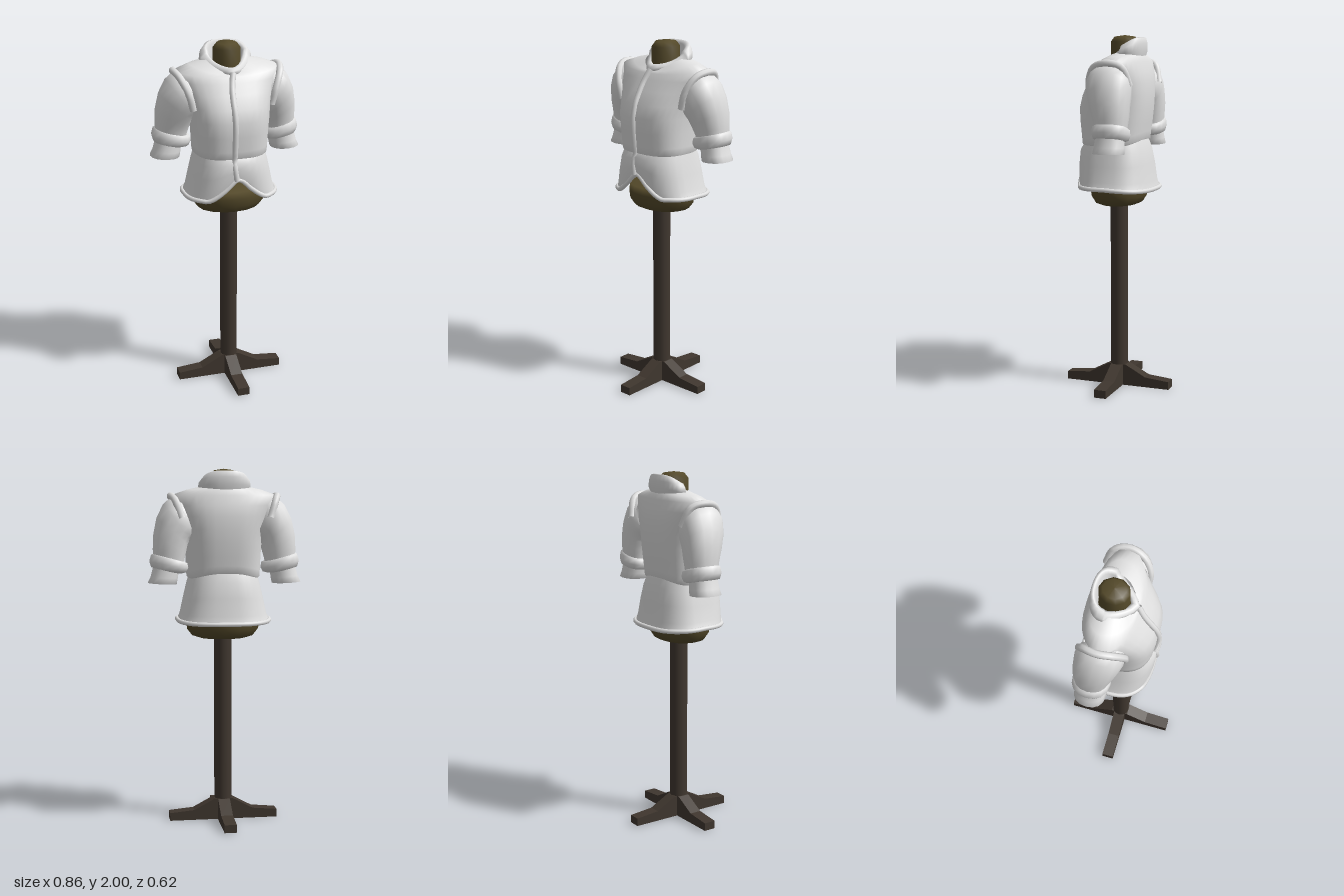
import * as THREE from 'three';

const V = (x, y, z) => new THREE.Vector3(x, y, z);
const COLS = 32;

// Smooth skin over closed rings of points, listed bottom to top
function loft(rings) {
  const n = rings[0].length, index = [];
  for (let i = 0; i < rings.length - 1; i++) {
    for (let j = 0; j < n; j++) {
      const k = (j + 1) % n, a = i * n, b = a + n;
      index.push(a + j, a + k, b + k, a + j, b + k, b + j);
    }
  }
  const g = new THREE.BufferGeometry().setFromPoints(rings.flat());
  g.setIndex(index);
  g.computeVertexNormals();
  return g;
}

const spow = (v, e) => Math.sign(v) * Math.abs(v) ** e;
const angles = (n) => Array.from({ length: n }, (_, j) => (j / n) * Math.PI * 2);

// Rounded-box outline: half width, front z, back z, z of the widest point, boxiness
function outline(a, w, zf, zb, zc, e) {
  const c = spow(Math.cos(a), e);
  return V(w * spow(Math.sin(a), e), 0, zc + (c > 0 ? (zf - zc) * c : (zc - zb) * c));
}

const waistLift = (a) => 0.03 * Math.max(0, -Math.cos(a)) ** 3;
const hemY = (p) => (p.z > 0
  ? 1.163 + 0.12 * Math.max(0, 1 - Math.abs(p.x) / 0.15)
  : 1.163 - 0.012 * Math.min(1, -p.z / 0.2));

export function createModel() {
  const model = new THREE.Group();
  const cloth = new THREE.MeshStandardMaterial({ color: 0xe0e0e0, side: THREE.DoubleSide });
  cloth.name = 'white cloth';
  const wood = new THREE.MeshStandardMaterial({ color: 0x40372f });
  wood.name = 'dark wood';
  const form = new THREE.MeshStandardMaterial({ color: 0x554a2a });
  form.name = 'olive dress form';

  const add = (name, geometry, material, parent = model) => {
    const m = new THREE.Mesh(geometry, material);
    m.name = name;
    parent.add(m);
    return m;
  };
  const tube = (pts, r, closed = false, seg = 32) =>
    new THREE.TubeGeometry(new THREE.CatmullRomCurve3(pts, closed), seg, r, 8, closed);

  // Stand: four sloping feet and a pole
  const foot = new THREE.Shape([[0, 0], [0.31, 0], [0.31, 0.045], [0.17, 0.058], [0.05, 0.122], [0, 0.122]]
    .map(([x, y]) => new THREE.Vector2(x, y)));
  const footGeo = new THREE.ExtrudeGeometry(foot, { depth: 0.068, bevelEnabled: false });
  footGeo.translate(0, 0, -0.034);
  for (let i = 0; i < 4; i++) add('foot', footGeo, wood).rotation.y = (i * Math.PI) / 2;
  add('pole', new THREE.CylinderGeometry(0.05, 0.05, 1.05, 12), wood).position.y = 0.555;

  // Dress form: hip block and neck
  const lathe = (pts, n) => new THREE.LatheGeometry(pts.map(([r, y]) => new THREE.Vector2(r, y)), n);
  add('hipBlock', lathe([[0, 1.055], [0.13, 1.056], [0.175, 1.07], [0.203, 1.105], [0.21, 1.15], [0.205, 1.19], [0, 1.195]], 16), form)
    .scale.z = 0.74;
  const neck = add('neck', lathe([[0.085, 1.8], [0.075, 1.88], [0.075, 1.965], [0.055, 1.992], [0, 2]], 10), form);
  neck.scale.z = 1.1;
  neck.position.z = -0.033;

  // Jacket body: y, half width, front, back, widest z, boxiness, dip at the front neck
  const bodyRows = [
    [1.39, 0.188, 0.18, -0.145, 0, 0.75, 0],
    [1.402, 0.203, 0.194, -0.16, 0, 0.75, 0],
    [1.44, 0.206, 0.197, -0.163, 0, 0.75, 0],
    [1.52, 0.209, 0.205, -0.172, 0, 0.75, 0],
    [1.6, 0.216, 0.208, -0.18, 0, 0.75, 0],
    [1.67, 0.226, 0.19, -0.184, -0.01, 0.78, 0],
    [1.74, 0.25, 0.152, -0.182, -0.02, 0.82, 0],
    [1.8, 0.275, 0.118, -0.173, -0.03, 0.88, 0],
    [1.855, 0.295, 0.1, -0.155, -0.04, 0.95, 0.025],
    [1.885, 0.21, 0.09, -0.145, -0.045, 0.95, 0.045],
    [1.905, 0.12, 0.075, -0.125, -0.045, 1, 0.06],
  ];
  add('jacketBody', loft(bodyRows.map(([y, w, zf, zb, zc, e, dip], i) => angles(COLS).map((a) => {
    const p = outline(a, w, zf, zb, zc, e);
    p.y = y - dip * Math.max(0, Math.cos(a)) ** 2 + (i < 3 ? waistLift(a) : 0);
    return p;
  }))), cloth);

  // Skirt of the jacket, cut away at the front: share of height, half width, front, back
  const skirtRows = [
    [1, 0.258, 0.2, -0.212], [0.85, 0.243, 0.208, -0.2], [0.5, 0.224, 0.211, -0.188],
    [0.2, 0.207, 0.207, -0.172], [0, 0.194, 0.186, -0.15],
  ];
  const skirt = skirtRows.map(([t, w, zf, zb]) => angles(COLS).map((a) => {
    const p = outline(a, w, zf, zb, 0, 0.78);
    p.y = THREE.MathUtils.lerp(1.405 + waistLift(a), hemY(p), t);
    return p;
  }));
  add('jacketSkirt', loft(skirt), cloth);
  add('hemTrim', tube(skirt[0], 0.013, true, 72), cloth);

  // Front closing band from collar to cutaway
  add('frontBand', tube([V(0, 1.85, 0.09), V(-0.015, 1.79, 0.122), V(-0.02, 1.73, 0.156), V(-0.02, 1.66, 0.19),
    V(-0.02, 1.59, 0.204), V(-0.02, 1.44, 0.193), V(-0.02, 1.395, 0.187), V(-0.022, 1.35, 0.2),
    V(-0.012, 1.28, 0.204)], 0.017), cloth);

  // Collar: half width, front, back, and height share between base and rim
  const collarRows = [
    [0.125, 0.085, -0.14, 0], [0.147, 0.1, -0.15, 0.35], [0.143, 0.097, -0.15, 0.7], [0.122, 0.085, -0.145, 0.97],
    [0.108, 0.068, -0.132, 1], [0.094, 0.054, -0.12, 0.85], [0.085, 0.04, -0.11, 0],
  ];
  add('collar', loft(collarRows.map(([w, zf, zb, t]) => angles(28).map((a) => {
    const s = Math.abs(Math.sin(a)), c = Math.cos(a), f = (1 + c) / 2;
    const z = c > 0 ? -0.055 + (zf + 0.055) * (1 - s ** 1.35) : -0.055 + (zb + 0.055) * spow(-c, 0.8);
    const y = THREE.MathUtils.lerp(1.875 - 0.045 * f ** 2, 1.99 - 0.115 * f ** 1.4, t);
    return V(w * spow(Math.sin(a), 0.9), y, z);
  }))), cloth);

  // Sleeves: inner x, y, outer x, y, centre z, half depth
  const sleeveRows = [
    [0.23, 1.46, 0.398, 1.5, -0.068, 0.085],
    [0.225, 1.5, 0.4, 1.56, -0.066, 0.092],
    [0.215, 1.54, 0.396, 1.64, -0.058, 0.107],
    [0.205, 1.58, 0.377, 1.73, -0.046, 0.12],
    [0.195, 1.6, 0.34, 1.805, -0.038, 0.128],
    [0.185, 1.61, 0.295, 1.845, -0.034, 0.125],
    [0.17, 1.62, 0.25, 1.84, -0.03, 0.11],
  ];
  const cuffRows = [
    [0.245, 1.425, 0.385, 1.455, -0.068, 0.078],
    [0.216, 1.432, 0.41, 1.462, -0.068, 0.094],
    [0.203, 1.455, 0.42, 1.495, -0.068, 0.102],
    [0.208, 1.482, 0.41, 1.53, -0.068, 0.099],
    [0.235, 1.495, 0.39, 1.54, -0.068, 0.085],
  ];
  const flapRows = [
    [0.285, 1.43, 0.38, 1.44, -0.068, 0.06],
    [0.278, 1.375, 0.415, 1.382, -0.068, 0.075],
    [0.268, 1.368, 0.43, 1.376, -0.068, 0.086],
    [0.262, 1.4, 0.413, 1.41, -0.068, 0.083],
    [0.255, 1.45, 0.395, 1.48, -0.068, 0.076],
  ];
  for (const side of [1, -1]) {
    const sleeve = new THREE.Group();
    sleeve.name = side > 0 ? 'leftSleeve' : 'rightSleeve';
    model.add(sleeve);
    const rings = (rows) => loft(rows.map(([xi, yi, xo, yo, zc, d]) => angles(16).map((a) => {
      const s = (1 + spow(Math.sin(a * side), 0.9)) / 2;
      return V(side * (xi + (xo - xi) * s), yi + (yo - yi) * s, zc + d * spow(Math.cos(a), 0.9));
    })));
    add('upperSleeve', rings(sleeveRows), cloth, sleeve);
    add('cuffRoll', rings(cuffRows), cloth, sleeve);
    add('cuffFlap', rings(flapRows), cloth, sleeve);
    // Raised edge around the top of the armhole
    add('shoulderEdge', tube([V(0.22 * side, 1.66, 0.085), V(0.245 * side, 1.75, 0.085), V(0.28 * side, 1.83, 0.04),
      V(0.298, 1.852, -0.04).multiply(V(side, 1, 1)), V(0.28 * side, 1.83, -0.115), V(0.245 * side, 1.73, -0.15)],
    0.02, false, 20), cloth, sleeve);
  }
  return model;
}
